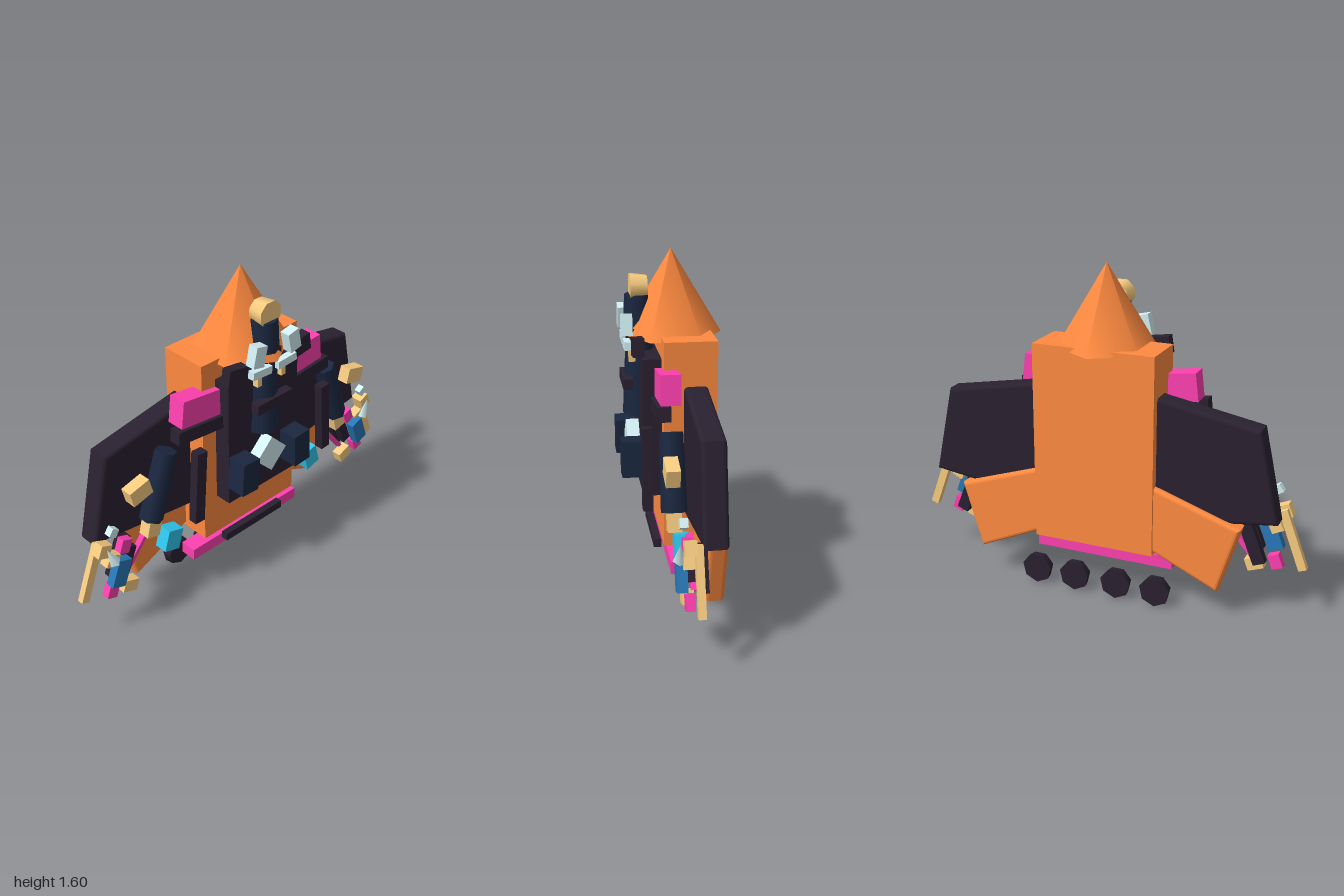
import * as THREE from 'three';

const paint = (color) => new THREE.MeshStandardMaterial({ color });

export function createModel() {
  const model = new THREE.Group();
  const orange = paint(0xff8a40), dark = paint(0x2a2130), navy = paint(0x1b2740);
  const pink = paint(0xff40b0), tan = paint(0xf8cc80), pale = paint(0xd2f0f4);
  const cyan = paint(0x30c8f0), blue = paint(0x2878b8);

  const add = (name, geo, mat, x, y, z, tilt = 0, parent = model) => {
    const mesh = new THREE.Mesh(geo, mat);
    mesh.name = name;
    mesh.position.set(x, y, z);
    mesh.rotation.z = tilt;
    parent.add(mesh);
    return mesh;
  };
  const box = (name, mat, [w, h, d], [x, y, z], tilt, parent) =>
    add(name, new THREE.BoxGeometry(w, h, d), mat, x, y, z, tilt, parent);

  // Flat plate with rounded rim, kept inside its outline, from z0 to z1
  const plate = (name, mat, points, z0, z1, parent) => {
    const b = 0.018;
    const geo = new THREE.ExtrudeGeometry(new THREE.Shape(points.map(([x, y]) => new THREE.Vector2(x, y))), {
      depth: z1 - z0 - 2 * b, bevelThickness: b, bevelSize: b, bevelOffset: -b, bevelSegments: 3,
    });
    return add(name, geo, mat, 0, 0, z0 + b, 0, parent);
  };

  // Hull and nose
  box('hull', orange, [0.6, 0.965, 0.24], [0, 0.752, -0.06]);
  add('noseCone', new THREE.ConeGeometry(0.235, 0.39, 6), orange, 0, 1.405, -0.008);

  // Chest panel, torso and head
  box('chestPanel', dark, [0.44, 0.65, 0.09], [0, 0.815, 0.1]);
  add('torso', new THREE.CylinderGeometry(0.062, 0.08, 0.39, 8), navy, 0, 1.025, 0.138);
  box('collar', dark, [0.14, 0.06, 0.06], [0, 1.215, 0.155]);
  box('belt', dark, [0.22, 0.05, 0.045], [0, 0.995, 0.2]);
  box('chestDiamond', pale, [0.135, 0.135, 0.06], [0, 0.7, 0.175], Math.PI / 4);
  add('neck', new THREE.CylinderGeometry(0.06, 0.068, 0.15, 8), navy, 0, 1.32, 0.145);
  add('head', new THREE.CylinderGeometry(0.066, 0.056, 0.08, 8).rotateX(Math.PI / 2).rotateZ(Math.PI / 8),
    tan, 0, 1.425, 0.142);

  // Lower bar and thrusters
  box('lowerBar', pink, [0.71, 0.06, 0.085], [0, 0.18, -0.008]);
  box('lowerTrim', dark, [0.38, 0.04, 0.035], [0, 0.232, 0.078]);
  for (const x of [-0.31, -0.108, 0.108, 0.31]) {
    // Seven-sided, one corner pointing down
    add('thruster', new THREE.CylinderGeometry(0.07, 0.077, 0.045, 7).rotateX(Math.PI / 2),
      dark, x, 0.077, -0.144);
  }

  // Everything that is mirrored, built on the +x side
  const buildSide = () => {
    const side = new THREE.Group();
    const b = (name, mat, size, pos, tilt = 0) => box(name, mat, size, pos, tilt, side);

    // Wing and tail fin
    plate('wing', dark, [[0.28, 0.43], [0.875, 0.51], [0.78, 0.945], [0.28, 1.035]], -0.138, -0.03, side);
    plate('tailFin', orange, [[0.28, 0.29], [0.615, 0.14], [0.715, 0.47], [0.28, 0.615]], -0.168, -0.08, side);

    // Shoulder
    b('shoulderBlock', pink, [0.24, 0.135, 0.09], [0.32, 1.045, 0.047], 0.12);
    b('shoulderPlate', dark, [0.27, 0.065, 0.06], [0.345, 0.95, 0.08], 0.1);
    b('sideStrip', dark, [0.055, 0.375, 0.045], [0.413, 0.698, 0.148], 0.07);

    // Arm
    add('upperArm', new THREE.CylinderGeometry(0.052, 0.057, 0.34, 6), navy, 0.567, 0.738, 0.057, 0.315, side);
    b('wrist', tan, [0.07, 0.085, 0.06], [0.623, 0.535, 0.057], 0.25);
    b('wingBlock', tan, [0.11, 0.08, 0.06], [0.7, 0.79, 0.078], -0.25).rotation.z = 0.25 * -1;

    // Tools beyond the hand
    b('longStick', tan, [0.04, 0.3, 0.032], [0.925, 0.4, -0.01], 0.36);
    b('upperKnob', tan, [0.06, 0.065, 0.05], [0.875, 0.525, 0.025], 0.4);
    b('lowerKnob', tan, [0.06, 0.065, 0.05], [0.835, 0.447, 0.025], 0.45);
    b('smallCube', pale, [0.04, 0.04, 0.035], [0.83, 0.615, 0.047], 0.6);
    add('spike', new THREE.ConeGeometry(0.028, 0.1, 4), pale, 0.858, 0.5, 0.065, -0.4, side);
    b('canister', blue, [0.075, 0.14, 0.045], [0.812, 0.377, 0.053], 0.36);
    b('canisterTop', pink, [0.055, 0.07, 0.04], [0.755, 0.48, 0.02], 0.36);
    b('canisterFoot', pink, [0.055, 0.07, 0.04], [0.843, 0.265, 0.02], 0.36);
    b('darkBracket', dark, [0.06, 0.21, 0.04], [0.745, 0.37, -0.048], 0.38);
    b('bracketFront', dark, [0.05, 0.14, 0.04], [0.74, 0.385, 0.01], 0.38);
    b('thinRod', pink, [0.02, 0.25, 0.03], [0.672, 0.365, -0.012], 0.69);
    b('footBlock', tan, [0.08, 0.06, 0.05], [0.745, 0.24, 0.018], 0.36);
    b('glowBlock', cyan, [0.088, 0.11, 0.07], [0.475, 0.35, 0.003], 0.29);

    // Chest details
    b('chestPocket', navy, [0.1, 0.17, 0.1], [0.17, 0.667, 0.192], 0.06);
    b('collarBlock', dark, [0.11, 0.085, 0.05], [0.2, 1.195, 0.165], 0.15);
    b('uprightFin', pale, [0.065, 0.1, 0.05], [0.107, 1.275, 0.206], 0.22);
    b('collarBar', pale, [0.115, 0.038, 0.035], [0.078, 1.178, 0.2], 0.06);
    b('collarPin', tan, [0.026, 0.065, 0.03], [0.075, 1.13, 0.18]);
    return side;
  };

  const left = buildSide();
  left.name = 'leftSide';
  const right = buildSide();
  right.name = 'rightSide';
  right.scale.x = -1;
  model.add(left, right);
  return model;
}
